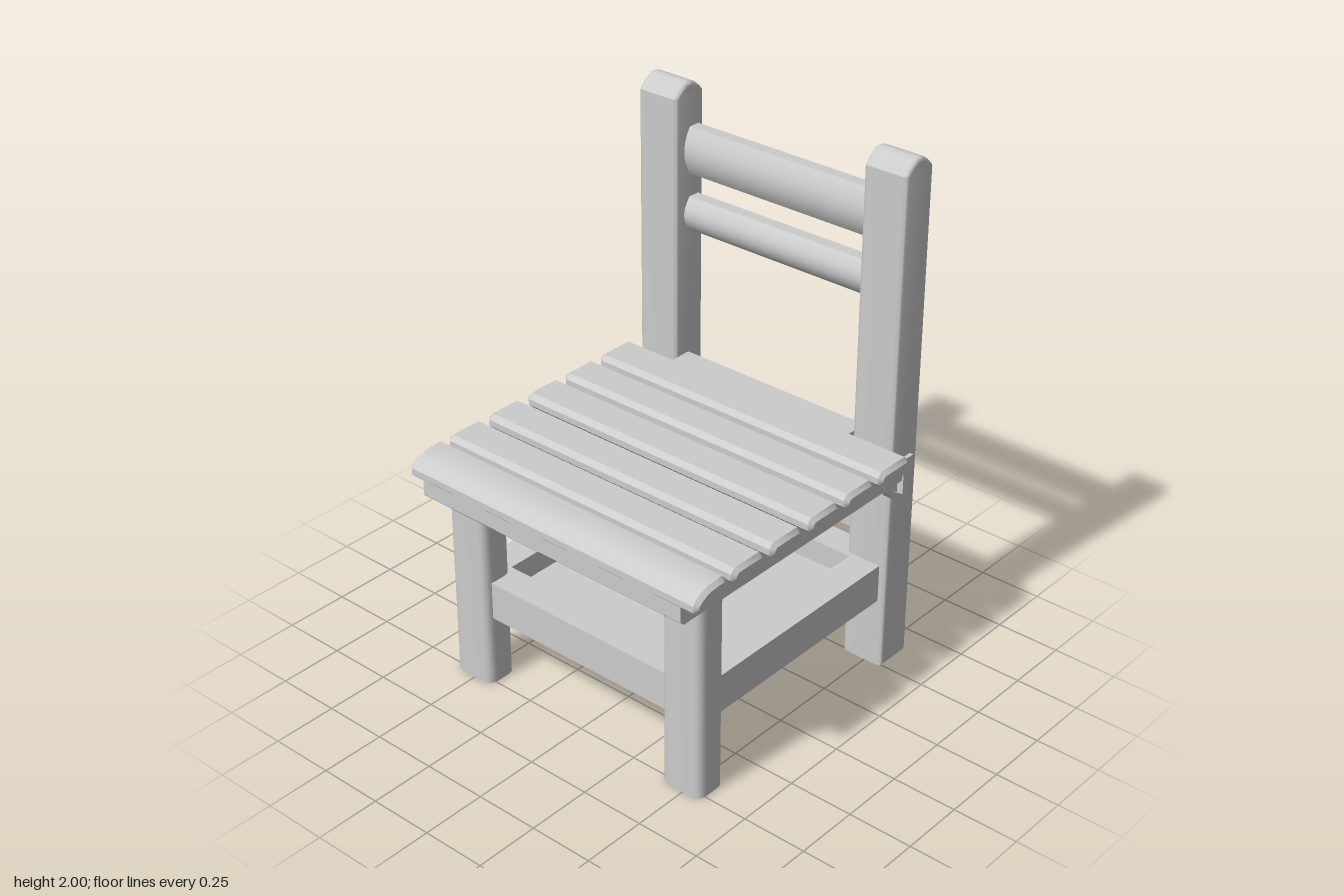
import * as THREE from 'three';
import { toCreasedNormals } from 'three/addons/utils/BufferGeometryUtils.js';

const material = new THREE.MeshStandardMaterial({ color: 0xcccccc, side: THREE.DoubleSide });

// Extrude a side profile (drawn in z, y) along x, with optional edge chamfer
function acrossX(shape, x0, x1, bevel = 0, segments = 1) {
  const g = new THREE.ExtrudeGeometry(shape, {
    depth: x1 - x0 - 2 * bevel, curveSegments: 12, bevelEnabled: bevel > 0,
    bevelThickness: bevel, bevelSize: bevel, bevelOffset: -bevel, bevelSegments: segments,
  });
  g.translate(0, 0, x0 + bevel);
  g.rotateY(Math.PI / 2);
  return toCreasedNormals(g, 0.6);
}

// Shape from z, y points; z is negated to suit the rotation in acrossX
const profile = (pts) => new THREE.Shape(pts.map(([z, y]) => new THREE.Vector2(-z, y)));

function roundedRect(x0, x1, y0, y1, r, Type = THREE.Shape) {
  const s = new Type();
  s.moveTo(x0 + r, y0);
  s.lineTo(x1 - r, y0); s.quadraticCurveTo(x1, y0, x1, y0 + r);
  s.lineTo(x1, y1 - r); s.quadraticCurveTo(x1, y1, x1 - r, y1);
  s.lineTo(x0 + r, y1); s.quadraticCurveTo(x0, y1, x0, y1 - r);
  s.lineTo(x0, y0 + r); s.quadraticCurveTo(x0, y0, x0 + r, y0);
  return s;
}

export function createModel() {
  const model = new THREE.Group();
  model.name = 'chair';
  const add = (name, geometry) => {
    const mesh = new THREE.Mesh(geometry, material);
    mesh.name = name;
    model.add(mesh);
    return mesh;
  };
  const block = (name, x0, x1, y0, y1, z0, z1) => {
    const g = new THREE.BoxGeometry(x1 - x0, y1 - y0, z1 - z0);
    return add(name, g.translate((x0 + x1) / 2, (y0 + y1) / 2, (z0 + z1) / 2));
  };

  const sides = [['right', -0.595, -0.42], ['left', 0.4, 0.575]];
  for (const [side, x0, x1] of sides) {
    // Back post with an arched top
    const post = new THREE.Shape();
    post.moveTo(0.49, 0);
    post.lineTo(0.64, 0);
    post.lineTo(0.64, 1.95);
    post.bezierCurveTo(0.615, 1.98, 0.59, 2, 0.565, 2);
    post.bezierCurveTo(0.54, 2, 0.515, 1.98, 0.49, 1.95);
    add(side + 'BackPost', acrossX(post, x0, x1, 0.015, 3));

    // Hollow front leg, open at the foot
    const leg = roundedRect(x0, x1, -0.53, -0.4, 0.04);
    leg.holes.push(roundedRect(x0 + 0.005, x1 - 0.005, -0.525, -0.405, 0.038, THREE.Path));
    const g = new THREE.ExtrudeGeometry(leg, { depth: 0.79, bevelEnabled: false, curveSegments: 6 });
    add(side + 'FrontLeg', toCreasedNormals(g.rotateX(-Math.PI / 2), 0.6));
  }

  // Backrest slats: flat behind, bowed in front
  for (const [name, y0, y1] of [['upperBackSlat', 1.65, 1.83], ['lowerBackSlat', 1.43, 1.56]]) {
    const s = new THREE.Shape();
    s.moveTo(0.61, y0);
    s.lineTo(0.61, y1);
    s.lineTo(0.565, y1);
    s.quadraticCurveTo(0.505, (y0 + y1) / 2, 0.565, y0);
    add(name, acrossX(s, -0.43, 0.41));
  }

  // Seat frame with softened front edge
  add('seatFrame', acrossX(profile([
    [-0.49, 0.78], [0.625, 0.78], [0.64, 0.795], [0.64, 0.86], [0.625, 0.87], [-0.49, 0.87],
  ]), -0.59, 0.585));
  block('rearSeatFrame', -0.42, 0.4, 0.78, 0.87, -0.57, -0.49);
  block('rearSeatBoard', -0.42, 0.4, 0.87, 0.93, -0.56, -0.47);

  // Chamfered seat slats
  const slats = [[-0.49, -0.32], [-0.285, -0.13], [-0.095, 0.065], [0.105, 0.265], [0.3, 0.46]];
  const c = 0.018;
  for (const [z0, z1] of slats) {
    add('seatSlat', acrossX(profile([
      [z0 + c, 0.87], [z1 - c, 0.87], [z1, 0.87 + c], [z1, 0.93 - c],
      [z1 - c, 0.93], [z0 + c, 0.93], [z0, 0.93 - c], [z0, 0.87 + c],
    ]), -0.655, 0.655, 0.015));
  }
  // Front slat drooping over the edge
  add('frontSeatSlat', acrossX(profile([
    [0.485, 0.888], [0.503, 0.87], [0.565, 0.868], [0.61, 0.858], [0.632, 0.847], [0.645, 0.86],
    [0.645, 0.885], [0.63, 0.902], [0.605, 0.917], [0.57, 0.927], [0.53, 0.93], [0.503, 0.93], [0.485, 0.912],
  ]), -0.655, 0.655, 0.015));

  // Side tongues past the posts and triangular brackets
  for (const [side, inner, outer] of [['right', -0.59, -0.62], ['left', 0.57, 0.6]]) {
    const a = Math.min(inner, outer), b = Math.max(inner, outer);
    block(side + 'Tongue', a + 0.01, b - 0.005, 0.79, 0.87, -0.59, -0.45);
    const tri = profile([[-0.41, 0.835], [-0.55, 0.835], [-0.55, 0.695], [-0.455, 0.755]]);
    tri.holes.push(profile([[-0.45, 0.815], [-0.53, 0.815], [-0.53, 0.735], [-0.475, 0.77]]));
    add(side + 'Bracket', acrossX(tri, a, b));
  }

  // Lower tray: four rails, a thin lip and a floor
  const X0 = -0.56, X1 = 0.545, Z0 = -0.59, Z1 = 0.5, t = 0.12;
  block('frontRail', X0, X1, 0.3, 0.43, Z1 - t, Z1);
  block('backRail', X0, X1, 0.3, 0.43, Z0, Z0 + t);
  block('rightRail', X0, X0 + t, 0.3, 0.43, Z0 + t, Z1 - t);
  block('leftRail', X1 - t, X1, 0.3, 0.43, Z0 + t, Z1 - t);
  block('trayFloor', X0 + t, X1 - t, 0.3, 0.34, Z0 + t, Z1 - t);
  const w = 0.04;
  block('frontLip', X0, X1, 0.28, 0.3, Z1 - w, Z1);
  block('backLip', X0, X1, 0.28, 0.3, Z0, Z0 + w);
  block('rightLip', X0, X0 + w, 0.28, 0.3, Z0 + w, Z1 - w);
  block('leftLip', X1 - w, X1, 0.28, 0.3, Z0 + w, Z1 - w);

  // Upper back rail on three spindles
  block('upperBackRail', -0.43, 0.41, 0.51, 0.59, -0.6, -0.53);
  for (const x of [-0.23, -0.02, 0.195]) {
    const g = new THREE.CylinderGeometry(0.02, 0.02, 0.1, 12);
    add('spindle', g.translate(x, 0.47, -0.565));
  }
  return model;
}
